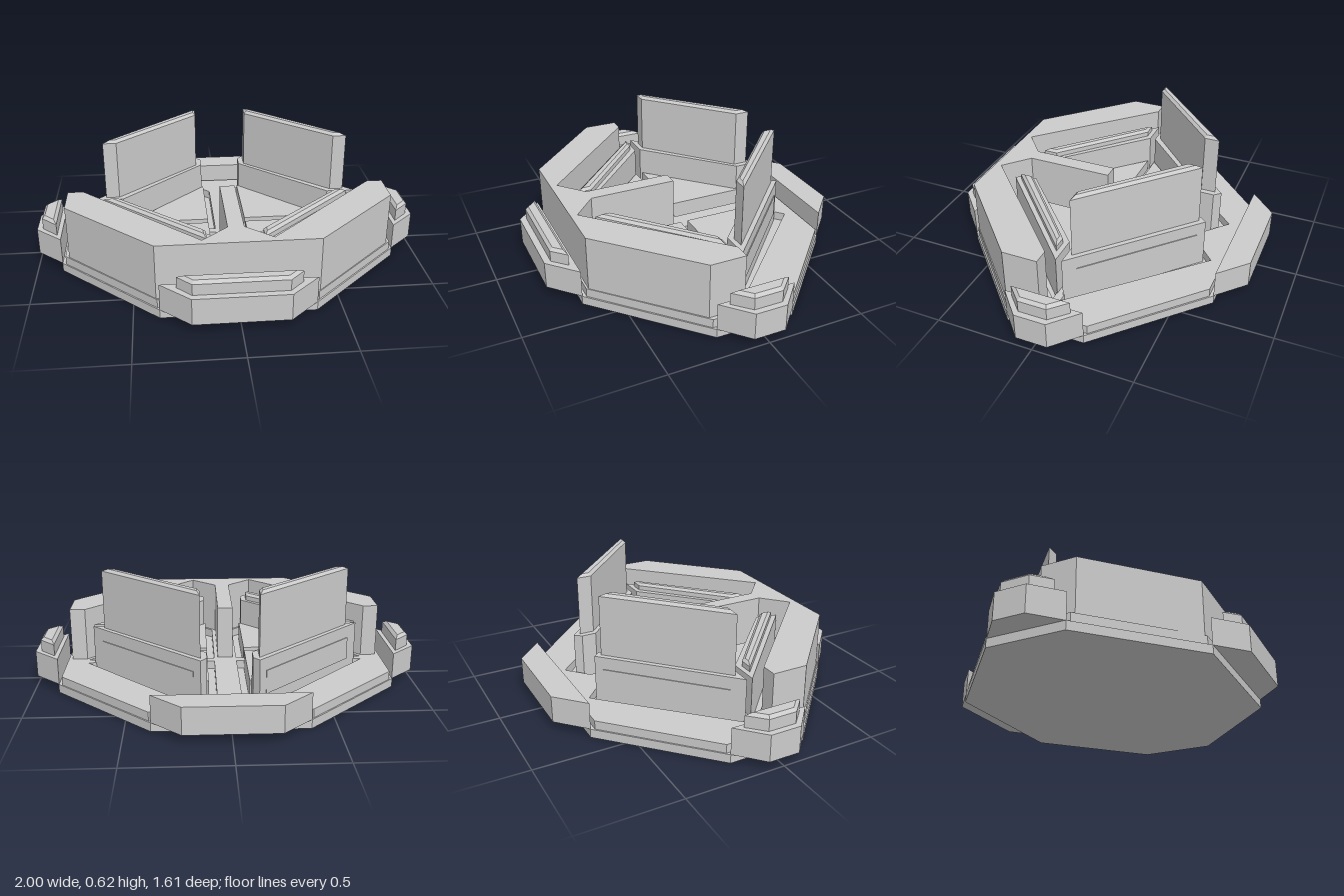
import * as THREE from 'three';
import { ConvexGeometry } from 'three/addons/geometries/ConvexGeometry.js';

const material = new THREE.MeshStandardMaterial({ color: 0xcccccc, flatShading: true });

// Footprints are lists of [x, z]
const flip = (pts, sx, sz) => pts.map(([x, z]) => [x * sx, z * sz]);
const octagon = (ax, az, bx, bz) => [
  [ax, az], [bx, bz], [bx, -bz], [ax, -az], [-ax, -az], [-bx, -bz], [-bx, bz], [-ax, az],
];

// Upright prism from any footprint, with optional holes
function prism(name, pts, y0, y1, holes = []) {
  const toVec = (list) => list.map(([x, z]) => new THREE.Vector2(x, -z));
  const shape = new THREE.Shape(toVec(pts));
  holes.forEach((h) => shape.holes.push(new THREE.Path(toVec(h))));
  const geo = new THREE.ExtrudeGeometry(shape, { depth: y1 - y0, bevelEnabled: false });
  geo.rotateX(-Math.PI / 2).translate(0, y0, 0);
  const mesh = new THREE.Mesh(geo, material);
  mesh.name = name;
  return mesh;
}

// Moves every edge of a convex footprint inwards by d
function inset(pts, d) {
  const n = pts.length;
  const area = pts.reduce((s, [x, z], i) => {
    const [u, v] = pts[(i + 1) % n];
    return s + x * v - u * z;
  }, 0);
  const normal = (a, b) => {
    const k = Math.sign(area) / Math.hypot(b[0] - a[0], b[1] - a[1]);
    return [-(b[1] - a[1]) * k, (b[0] - a[0]) * k];
  };
  return pts.map((p, i) => {
    const m = normal(pts[(i + n - 1) % n], p);
    const q = normal(p, pts[(i + 1) % n]);
    const k = d / (1 + m[0] * q[0] + m[1] * q[1]);
    return [p[0] + (m[0] + q[0]) * k, p[1] + (m[1] + q[1]) * k];
  });
}

// Convex slab whose top edge is chamfered
function chamferedSlab(name, pts, y0, y1, c) {
  const ring = (list, y) => list.map(([x, z]) => new THREE.Vector3(x, y, z));
  const geo = new ConvexGeometry([...ring(pts, y0), ...ring(pts, y1 - c), ...ring(inset(pts, c), y1)]);
  const mesh = new THREE.Mesh(geo, material);
  mesh.name = name;
  return mesh;
}

export function createModel() {
  const model = new THREE.Group();
  model.name = 'platform';
  const quadrants = [[1, 1], [-1, 1], [1, -1], [-1, -1]];

  // Base: a solid plate and a thinner one with four sunken bays
  const bay = [[0.06, 0.02], [0.06, 0.49], [0.17, 0.59], [0.74, 0.02]];
  model.add(prism('basePlate', octagon(0.375, 0.67, 0.87, 0.2), 0, 0.045));
  model.add(prism('deckPlate', octagon(0.385, 0.65, 0.85, 0.21), 0.045, 0.09,
    quadrants.map(([sx, sz]) => flip(bay, sx, sz))));

  // Tall front wall, wrapping the two front bays with a divider between
  const half = [[0.04, 0.035], [0.04, 0.49], [0.17, 0.605], [0.75, 0.04], [0.83, 0.04], [0.83, 0.22], [0.39, 0.64]];
  model.add(prism('frontWall', [...half, ...flip(half, -1, 1).reverse()], 0.09, 0.372));

  // Each bay: triangular step, diagonal block and upright slab
  const step = [[0.1, 0.02], [0.1, 0.44], [0.53, 0.02]];
  const block = [[0.11, 0.43], [0.11, 0.505], [0.14, 0.54], [0.7, 0.015], [0.55, 0.015]];
  const slab = [[0.14, 0.43], [0.14, 0.505], [0.64, 0.04], [0.57, 0.04]];
  const panel = [[0.17, 0.48], [0.175, 0.513], [0.65, 0.068], [0.62, 0.06]];
  for (const [sx, sz] of quadrants) {
    const rear = sz < 0;
    const group = new THREE.Group();
    group.name = rear ? 'rearBay' : 'frontBay';
    group.add(prism('triangleStep', flip(step, sx, sz), 0.045, 0.15));
    group.add(prism('diagonalBlock', flip(block, sx, sz), 0.045, 0.295));
    group.add(chamferedSlab(rear ? 'tallSlab' : 'lowSlab', flip(slab, sx, sz), 0.29, rear ? 0.618 : 0.335, 0.014));
    if (rear) group.add(prism('sidePanel', flip(panel, sx, sz), 0.11, 0.23));
    model.add(group);
  }

  // Bumpers on the four cut corners; all but the rear one carry a rail
  const endBumper = [[0.375, 0.668], [0.23, 0.803], [-0.23, 0.803], [-0.375, 0.668]];
  const endRail = [[0.295, 0.7], [0.225, 0.77], [-0.225, 0.77], [-0.295, 0.7]];
  const sideBumper = [[0.868, 0.2], [1, 0.08], [1, -0.08], [0.868, -0.2]];
  const sideRail = [[0.89, 0.15], [0.97, 0.072], [0.97, -0.072], [0.89, -0.15]];
  model.add(prism('frontBumper', endBumper, 0.045, 0.183));
  model.add(chamferedSlab('frontRail', endRail, 0.18, 0.255, 0.015));
  model.add(prism('rearBumper', flip(endBumper, 1, -1), 0.045, 0.183));
  for (const s of [1, -1]) {
    const side = s > 0 ? 'left' : 'right';
    model.add(prism(side + 'Bumper', flip(sideBumper, s, 1), 0.045, 0.183));
    model.add(chamferedSlab(side + 'Rail', flip(sideRail, s, 1), 0.18, 0.258, 0.015));
  }
  return model;
}
